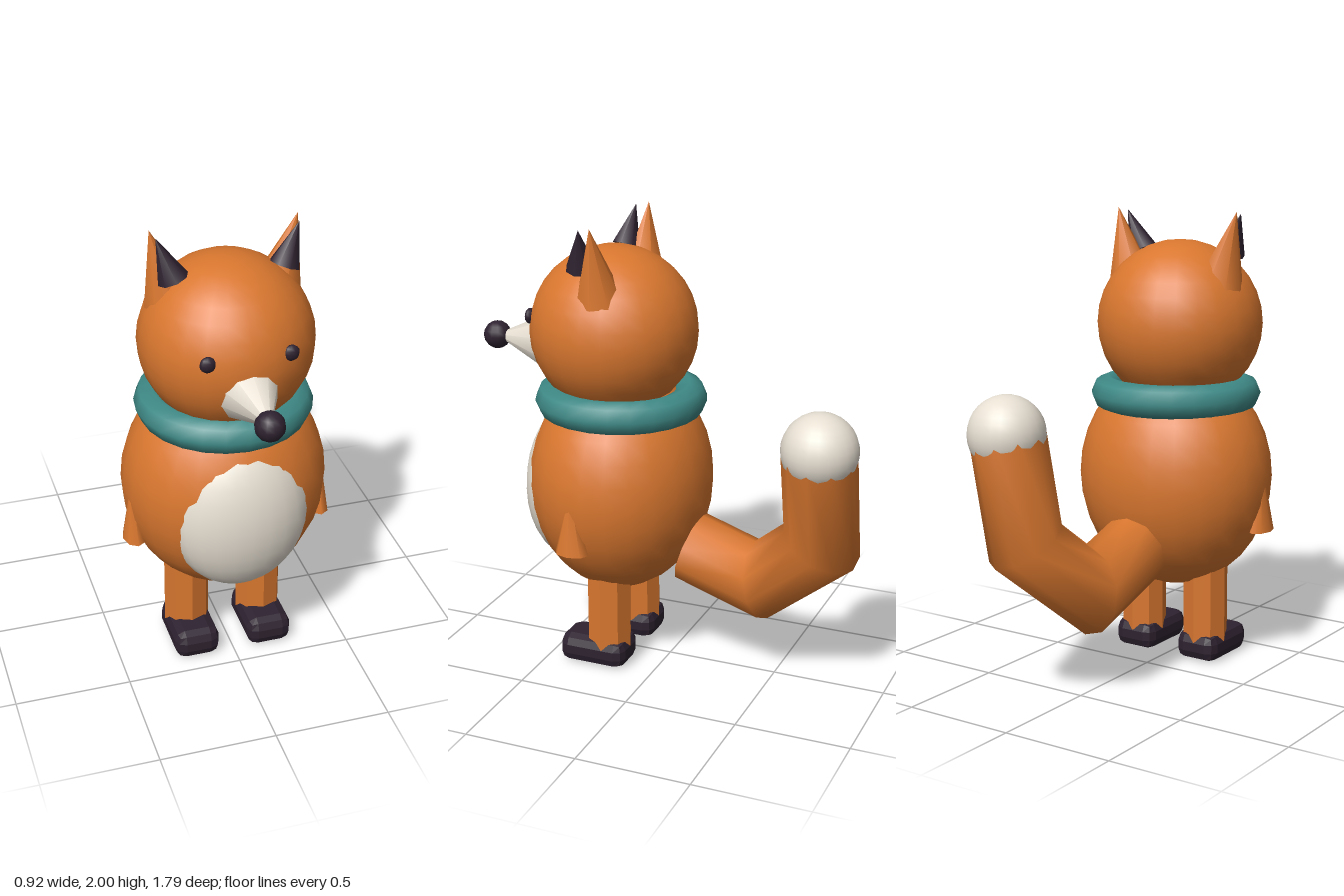
import * as THREE from 'three';
import { RoundedBoxGeometry } from 'three/addons/geometries/RoundedBoxGeometry.js';

const mat = (name, color) => {
  const m = new THREE.MeshStandardMaterial({ color });
  m.name = name;
  return m;
};

// Facet a geometry so every face gets its own normal
function faceted(geo) {
  const g = geo.index ? geo.toNonIndexed() : geo;
  g.computeVertexNormals();
  return g;
}

// Tube with straight runs and mitred elbows, closed at both ends
function mitredTube(points, radius, sides) {
  const dirs = points.slice(1).map((p, i) => p.clone().sub(points[i]).normalize());
  const side = new THREE.Vector3(1, 0, 0);
  const up = new THREE.Vector3().crossVectors(dirs[0], side).normalize();
  let ring = [];
  for (let j = 0; j < sides; j++) {
    const a = (j / sides) * Math.PI * 2;
    ring.push(points[0].clone()
      .addScaledVector(up, -radius * Math.cos(a))
      .addScaledVector(side, radius * Math.sin(a)));
  }
  const rings = [ring];
  // Slide each ring along its run until it meets the plane of the next elbow
  for (let i = 1; i < points.length; i++) {
    const d = dirs[i - 1];
    const n = d.clone().add(dirs[i] || d).normalize();
    ring = ring.map((v) => v.clone().addScaledVector(d, points[i].clone().sub(v).dot(n) / d.dot(n)));
    rings.push(ring);
  }
  const pos = [];
  const index = [];
  rings.flat().forEach((v) => pos.push(v.x, v.y, v.z));
  for (let i = 0; i < rings.length - 1; i++) {
    for (let j = 0; j < sides; j++) {
      const a = i * sides + j, b = i * sides + ((j + 1) % sides);
      index.push(a, b, a + sides, b, b + sides, a + sides);
    }
  }
  // End caps with their own vertices
  [[rings[0], points[0], true], [rings[rings.length - 1], points[points.length - 1], false]].forEach(([r, c, flip]) => {
    const base = pos.length / 3;
    pos.push(c.x, c.y, c.z);
    r.forEach((v) => pos.push(v.x, v.y, v.z));
    for (let j = 0; j < sides; j++) {
      const a = base + 1 + j, b = base + 1 + ((j + 1) % sides);
      index.push(base, flip ? b : a, flip ? a : b);
    }
  });
  const g = new THREE.BufferGeometry();
  g.setAttribute('position', new THREE.Float32BufferAttribute(pos, 3));
  g.setIndex(index);
  g.computeVertexNormals();
  return g;
}

export function createModel() {
  const model = new THREE.Group();
  model.name = 'fox';
  const orange = mat('orange fur', 0xd9772f);
  const cream = mat('cream fur', 0xe8e0d3);
  const dark = mat('dark plum', 0x2e2230);
  const teal = mat('teal scarf', 0x3f8a87);

  const add = (name, geo, material, x = 0, y = 0, z = 0) => {
    const m = new THREE.Mesh(geo, material);
    m.name = name;
    m.position.set(x, y, z);
    model.add(m);
    return m;
  };
  const ball = (name, material, [x, y, z], [rx, ry, rz], w = 24, h = 16) => {
    const m = add(name, new THREE.SphereGeometry(1, w, h), material, x, y, z);
    m.scale.set(rx, ry, rz);
    return m;
  };
  // Cone running from the centre of its base to its tip
  const cone = (name, material, base, tip, r, sides, squash = 1) => {
    const a = new THREE.Vector3(...base), b = new THREE.Vector3(...tip);
    const len = a.distanceTo(b);
    const m = add(name, new THREE.ConeGeometry(r, len, sides), material);
    m.position.copy(a).lerp(b, 0.5);
    m.quaternion.setFromUnitVectors(new THREE.Vector3(0, 1, 0), b.sub(a).normalize());
    m.scale.x = squash;
    return m;
  };

  // Torso, belly patch and head
  ball('body', orange, [0, 0.83, 0.23], [0.44, 0.5, 0.4]);
  ball('belly', cream, [0, 0.79, 0.46], [0.3, 0.36, 0.195]);
  ball('head', orange, [0, 1.505, 0.26], [0.365, 0.365, 0.365]);

  // Scarf ring
  const scarf = add('scarf', new THREE.TorusGeometry(0.3, 0.075, 8, 24), teal, 0, 1.2, 0.23);
  scarf.rotation.x = Math.PI / 2;

  // Muzzle
  cone('snout', cream, [0, 1.415, 0.54], [0, 1.415, 0.84], 0.14, 10);
  ball('nose', dark, [0, 1.415, 0.83], [0.062, 0.062, 0.062], 12, 8);

  // Paired parts
  for (const [label, s] of [['left', 1], ['right', -1]]) {
    ball(label + 'Eye', dark, [s * 0.17, 1.57, 0.575], [0.034, 0.034, 0.022], 10, 8);
    cone(label + 'Ear', orange, [s * 0.229, 1.689, 0.222], [s * 0.305, 2.0, 0.228], 0.103, 8);
    cone(label + 'InnerEar', dark, [s * 0.23, 1.817, 0.303], [s * 0.293, 1.988, 0.283], 0.065, 8);
    cone(label + 'Arm', orange, [s * 0.41, 0.612, 0.285], [s * 0.415, 0.91, 0.285], 0.077, 8, 0.65);
    add(label + 'Leg', faceted(new THREE.CylinderGeometry(0.1, 0.1, 0.42, 8)), orange, s * 0.165, 0.3, 0.225);
    add(label + 'Foot', faceted(new RoundedBoxGeometry(0.2, 0.13, 0.31, 1, 0.045)), dark, s * 0.165, 0.067, 0.28);
  }

  // Bent tail with a round tip
  const path = [[0, 0.55, -0.1], [0, 0.44, -0.43], [0.1, 0.7, -0.73], [0.185, 1.145, -0.73]];
  add('tail', mitredTube(path.map((p) => new THREE.Vector3(...p)), 0.158, 10), orange);
  ball('tailTip', cream, [0.185, 1.145, -0.733], [0.162, 0.162, 0.162]);

  return model;
}
